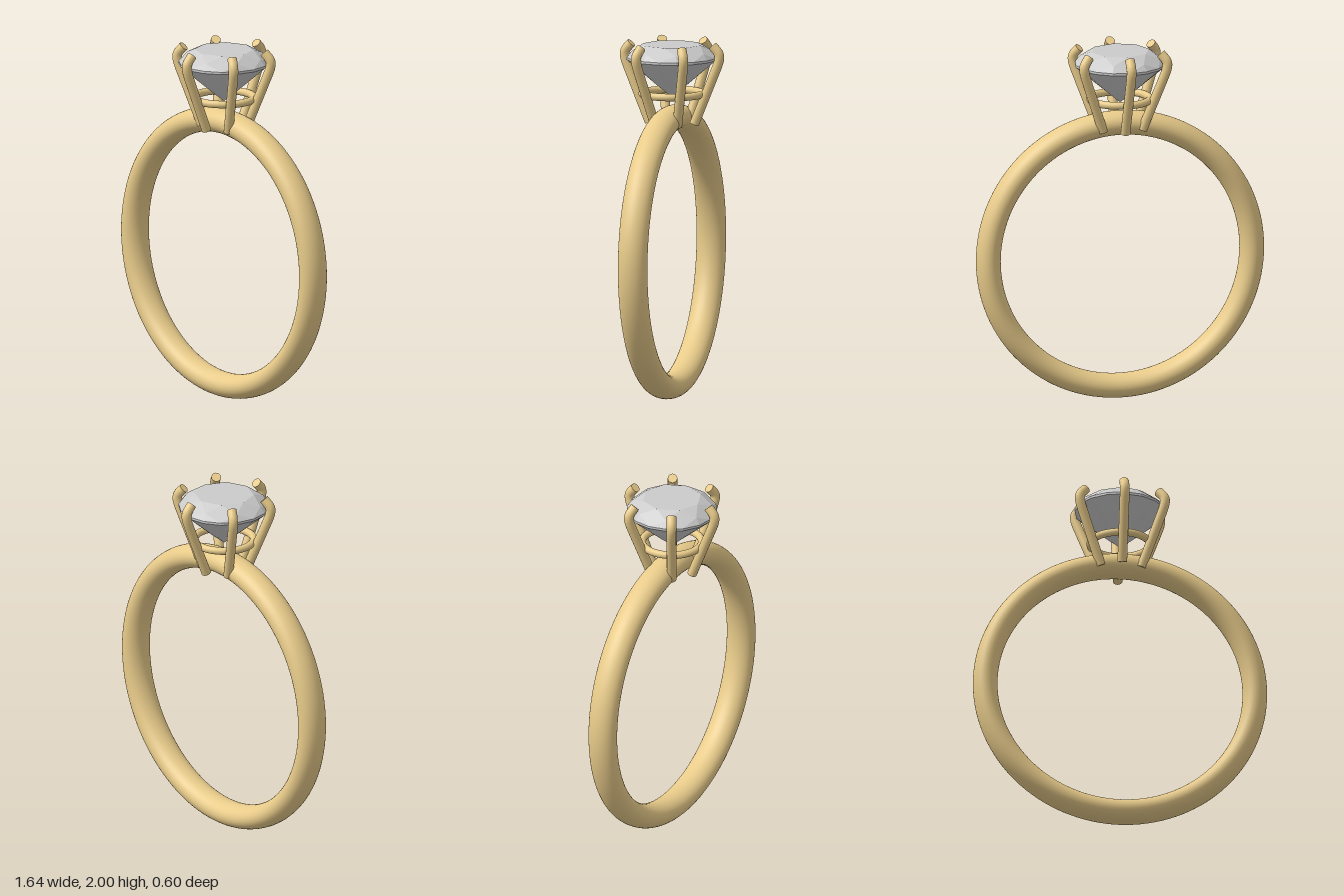
import * as THREE from 'three';

const gold = new THREE.MeshStandardMaterial({ color: 0xe8cb8a });
const grey = new THREE.MeshStandardMaterial({ color: 0xcccccc, flatShading: true });

function add(parent, name, geometry, material) {
  const mesh = new THREE.Mesh(geometry, material);
  mesh.name = name;
  parent.add(mesh);
  return mesh;
}

// Round brilliant: table, stars, kites, halves, girdle and pavilion, repeated eight times
function gemGeometry() {
  const step = Math.PI / 8;
  const ring = (r, y) => (i) => [r * Math.sin(i * step), y, r * Math.cos(i * step)];
  const table = ring(0.165, 1.98);
  const crown = ring(0.225, 1.945);
  const girdleTop = ring(0.252, 1.91);
  const girdleLow = ring(0.252, 1.897);
  const pavilion = ring(0.07, 1.741);
  const top = [0, 1.98, 0];
  const culet = [0, 1.685, 0];
  const pos = [];
  // Fan of triangles over a convex facet
  const facet = (...p) => {
    for (let i = 1; i < p.length - 1; i++) pos.push(...p[0], ...p[i], ...p[i + 1]);
  };
  for (let a = 0; a < 16; a += 2) {
    const b = a + 1, c = a + 2;
    facet(top, table(a), table(c));
    facet(table(a), crown(b), table(c));
    facet(table(a), crown(a - 1), girdleTop(a), crown(b));
    facet(culet, pavilion(b), girdleLow(a), pavilion(a - 1));
    for (const i of [a, b]) {
      facet(crown(b), girdleTop(i), girdleTop(i + 1));
      facet(girdleTop(i), girdleLow(i), girdleLow(i + 1), girdleTop(i + 1));
      facet(pavilion(b), girdleLow(i + 1), girdleLow(i));
    }
  }
  const geometry = new THREE.BufferGeometry();
  geometry.setAttribute('position', new THREE.Float32BufferAttribute(pos, 3));
  geometry.computeVertexNormals();
  return geometry;
}

// Claw leaning outward and curling over the girdle, with flat ends
function makeProng() {
  const prong = new THREE.Group();
  prong.name = 'prong';
  const radius = 0.027;
  const path = new THREE.CurvePath();
  const v = (y, z) => new THREE.Vector3(0, y, z);
  path.add(new THREE.LineCurve3(v(1.54, 0.129), v(1.85, 0.255)));
  path.add(new THREE.CubicBezierCurve3(v(1.85, 0.255), v(1.91, 0.279), v(1.93, 0.281), v(1.955, 0.258)));
  path.add(new THREE.LineCurve3(v(1.955, 0.258), v(1.98, 0.235)));
  add(prong, 'prongWire', new THREE.TubeGeometry(path, 40, radius, 16), gold);
  for (const t of [0, 1]) {
    const cap = add(prong, 'prongEnd', new THREE.CircleGeometry(radius, 16), gold);
    const outward = path.getTangentAt(t).multiplyScalar(t ? 1 : -1);
    cap.position.copy(path.getPointAt(t));
    cap.quaternion.setFromUnitVectors(new THREE.Vector3(0, 0, 1), outward);
  }
  return prong;
}

export function createModel() {
  const model = new THREE.Group();
  model.name = 'ring';

  // Band, slightly wider than it is thick
  const band = add(model, 'band', new THREE.TorusGeometry(0.75, 0.068, 32, 128), gold);
  band.scale.z = 0.083 / 0.068;
  band.position.y = 0.82;

  // Setting
  const setting = new THREE.Group();
  setting.name = 'setting';
  model.add(setting);
  const rail = add(setting, 'rail', new THREE.TorusGeometry(0.165, 0.021, 16, 64), gold);
  rail.rotation.x = Math.PI / 2;
  rail.position.y = 1.705;
  for (let i = 0; i < 6; i++) {
    const prong = makeProng();
    prong.rotation.y = (i * Math.PI) / 3;
    setting.add(prong);
  }

  // Stone
  add(model, 'gem', gemGeometry(), grey);
  return model;
}
